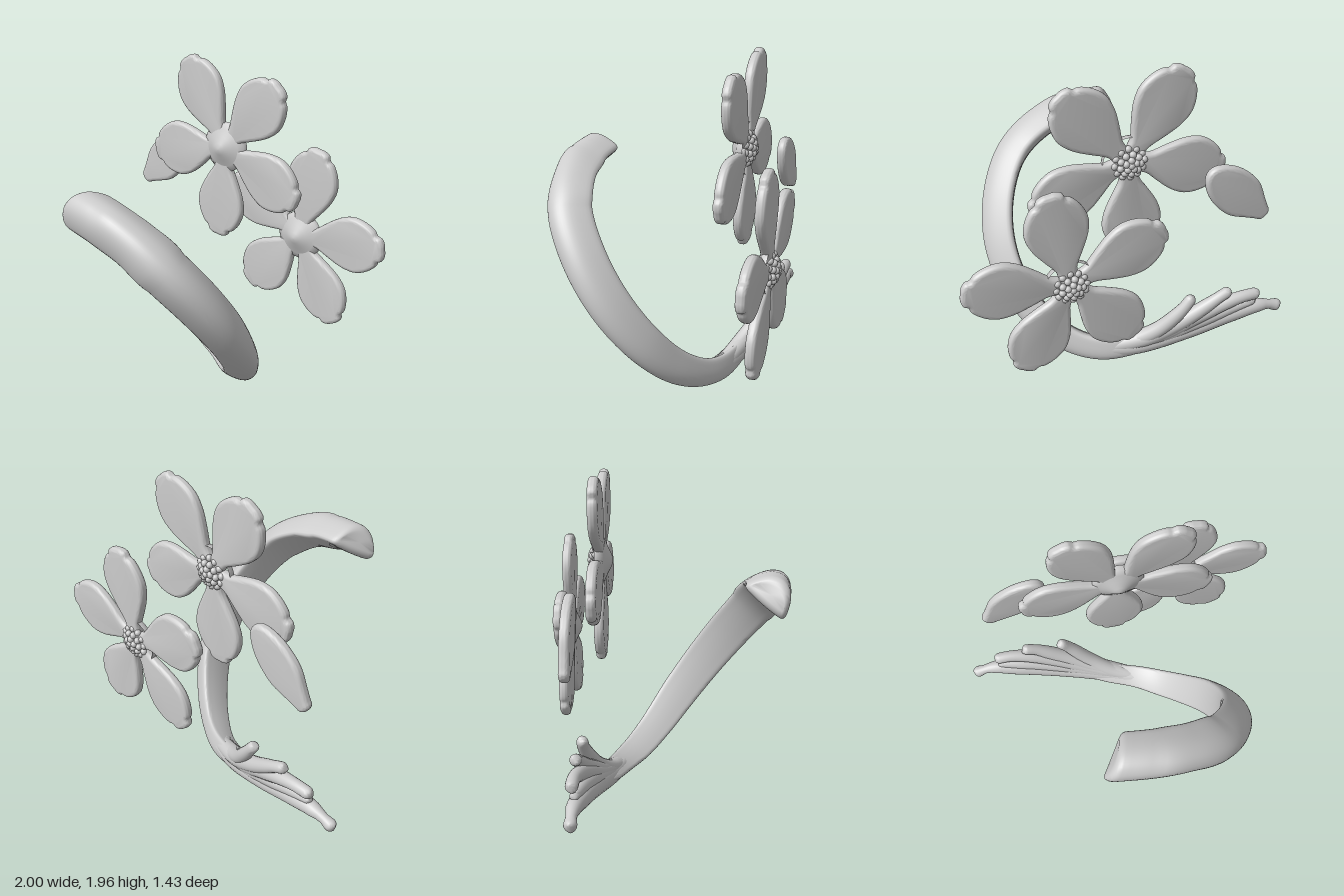
import * as THREE from 'three';
import { toCreasedNormals } from 'three/addons/utils/BufferGeometryUtils.js';

const V = (x, y, z) => new THREE.Vector3(x, y, z);
const silver = new THREE.MeshStandardMaterial({ color: 0xcccccc });
silver.name = 'silver';

// Centre of the wrist ring; swept sections point away from it
const ringCentre = V(0.05, 0.68, 0.15);

function mesh(geometry, name) {
  const m = new THREE.Mesh(geometry, silver);
  m.name = name;
  return m;
}

// Closed solid from equal-length rings of points, with fan caps
function loft(rings) {
  const n = rings[0].length, pos = [], idx = [];
  rings.forEach(r => r.forEach(p => pos.push(p.x, p.y, p.z)));
  for (let i = 0; i < rings.length - 1; i++) {
    for (let j = 0; j < n; j++) {
      const a = i * n + j, b = i * n + (j + 1) % n;
      idx.push(a, a + n, b, b, a + n, b + n);
    }
  }
  [0, rings.length - 1].forEach((i, end) => {
    const c = rings[i].reduce((s, p) => s.add(p), V(0, 0, 0)).divideScalar(n);
    const ci = pos.length / 3;
    pos.push(c.x, c.y, c.z);
    for (let j = 0; j < n; j++) {
      const a = i * n + j, b = i * n + (j + 1) % n;
      if (end) idx.push(ci, b, a); else idx.push(ci, a, b);
    }
  });
  const g = new THREE.BufferGeometry();
  g.setAttribute('position', new THREE.Float32BufferAttribute(pos, 3));
  g.setIndex(idx);
  return toCreasedNormals(g, 0.85);
}

// Sweep a section along stations [x, y, z, halfWidth, halfHeight], with rounded ends
function sweep(stations, section, steps, startRound, endRound, minStart, skew = 0) {
  const path = new THREE.CatmullRomCurve3(stations.map(s => V(s[0], s[1], s[2])));
  const sizes = new THREE.CatmullRomCurve3(stations.map(s => V(s[3], s[4], 0)));
  const L = path.getLength(), u0 = startRound / L, u1 = 1 - endRound / L;
  const samples = [], K = 6;
  for (let k = 0; k < K && u0 > 0; k++) {
    const a = (k / K) * Math.PI / 2;
    samples.push([u0 * (1 - Math.cos(a)), minStart + (1 - minStart) * Math.sin(a)]);
  }
  for (let i = 0; i <= steps; i++) samples.push([u0 + (u1 - u0) * i / steps, 1]);
  for (let k = 1; k <= K && endRound > 0; k++) {
    const a = (k / K) * Math.PI / 2;
    samples.push([u1 + (1 - u1) * Math.sin(a), Math.max(0.05, Math.cos(a))]);
  }
  return loft(samples.map(([u, f]) => {
    const p = path.getPointAt(u), T = path.getTangentAt(u);
    const size = sizes.getPoint(path.getUtoTmapping(u));
    const N = p.clone().sub(ringCentre);
    N.addScaledVector(T, -N.dot(T)).normalize();
    const W = T.clone().cross(N);
    const lean = -skew * Math.max(0, 1 - u * 5);
    return section.map(([w, h]) => p.clone()
      .addScaledVector(W, w * size.x * (0.5 + 0.5 * f))
      .addScaledVector(N, h * size.y * f)
      .addScaledVector(T, w * lean));
  }));
}

// Domed band section with a flat inner face
const domed = new THREE.CatmullRomCurve3([
  [-1, -0.68], [-0.55, -0.8], [0.55, -0.8], [1, -0.68], [0.9, 0.1],
  [0.5, 0.82], [0.05, 1], [-0.42, 0.75], [-0.85, 0],
].map(p => V(p[0], p[1], 0)), true).getPoints(40).slice(0, 40).map(p => [p.x, p.y]);

const round = Array.from({ length: 20 }, (_, i) => {
  const a = i / 20 * Math.PI * 2;
  return [Math.cos(a), Math.sin(a)];
});

// Plump petal from half an outline mirrored about its length
function petalGeometry(half) {
  const pts = [...half, ...half.slice(1, -1).reverse().map(([x, y]) => [x, -y])];
  const outline = new THREE.CatmullRomCurve3(pts.map(p => V(p[0], p[1], 0)), true).getPoints(72).slice(0, 72);
  const shape = new THREE.Shape(outline.map(p => new THREE.Vector2(p.x, p.y)).reverse());
  const g = new THREE.ExtrudeGeometry(shape, {
    depth: 0.012, bevelThickness: 0.023, bevelSize: 0.024, bevelOffset: -0.024, bevelSegments: 5,
  });
  g.translate(0, 0, -0.006);
  return toCreasedNormals(g, 0.8);
}

const petalShape = petalGeometry([
  [0.03, 0], [0.05, 0.045], [0.12, 0.06], [0.2, 0.105], [0.3, 0.155], [0.39, 0.172],
  [0.47, 0.15], [0.53, 0.108], [0.545, 0.08], [0.572, 0.068], [0.588, 0.03], [0.588, 0],
]);

function flower(name, x, y, z, degrees) {
  const f = new THREE.Group();
  f.name = name;
  f.position.set(x, y, z);
  degrees.forEach(d => {
    const p = mesh(petalShape, 'petal');
    p.rotation.z = THREE.MathUtils.degToRad(d);
    f.add(p);
  });

  // Soft pointed hub on the front
  const profile = [[0.15, -0.02], [0.15, 0.012], [0.115, 0.028], [0.075, 0.045], [0.035, 0.066], [0.012, 0.073], [0, 0.074]];
  const hub = mesh(new THREE.LatheGeometry(profile.map(p => new THREE.Vector2(p[0], p[1])), 32), 'hub');
  hub.rotation.x = Math.PI / 2;
  f.add(hub);

  // Bead-like stamens on the back
  const bead = new THREE.SphereGeometry(0.02, 10, 8);
  [[1, 0, -0.056], [5, 0.03, -0.052], [9, 0.058, -0.04], [12, 0.085, -0.022]].forEach(([n, r, bz]) => {
    for (let i = 0; i < n; i++) {
      const a = (i + r * 10) / n * Math.PI * 2;
      const b = mesh(bead, 'stamen');
      b.position.set(r * Math.cos(a), r * Math.sin(a), bz);
      f.add(b);
    }
  });
  const base = mesh(new THREE.SphereGeometry(0.08, 20, 12), 'stamenBase');
  base.scale.z = 0.6;
  f.add(base);
  return f;
}

export function createModel() {
  const model = new THREE.Group();
  model.name = 'floralBangle';

  // Open spiral band
  model.add(mesh(sweep([
    [-0.23, 1.305, 0.575, 0.135, 0.1], [0, 1.28, 0.595, 0.135, 0.105],
    [0.2, 1.22, 0.585, 0.135, 0.105], [0.4, 1.08, 0.53, 0.135, 0.105],
    [0.535, 0.87, 0.395, 0.132, 0.105], [0.585, 0.63, 0.225, 0.125, 0.105],
    [0.535, 0.39, 0.045, 0.115, 0.1], [0.41, 0.205, -0.105, 0.1, 0.095],
    [0.26, 0.105, -0.22, 0.088, 0.085], [0.1, 0.078, -0.31, 0.075, 0.078],
    [-0.1, 0.105, -0.37, 0.065, 0.065], [-0.22, 0.14, -0.4, 0.05, 0.05],
  ], domed, 70, 0.05, 0.04, 0.45, 0.045), 'band'));

  // Fanned plume at the lower end
  const plume = new THREE.Group();
  plume.name = 'plume';
  [
    [[0.12, 0.075, -0.3, 0.06], [-0.1, 0.1, -0.37, 0.064], [-0.4, 0.18, -0.43, 0.06], [-0.7, 0.268, -0.47, 0.055], [-0.87, 0.292, -0.49, 0.042], [-0.995, 0.255, -0.49, 0.042]],
    [[0, 0.09, -0.34, 0.05], [-0.25, 0.17, -0.41, 0.055], [-0.5, 0.26, -0.455, 0.05], [-0.68, 0.315, -0.475, 0.04], [-0.82, 0.345, -0.49, 0.025]],
    [[0.1, 0.08, -0.31, 0.05], [-0.2, 0.17, -0.405, 0.055], [-0.45, 0.3, -0.465, 0.05], [-0.61, 0.372, -0.49, 0.044], [-0.72, 0.4, -0.5, 0.037], [-0.835, 0.402, -0.5, 0.036]],
    [[0.1, 0.08, -0.31, 0.05], [-0.15, 0.165, -0.4, 0.055], [-0.35, 0.285, -0.46, 0.05], [-0.49, 0.385, -0.49, 0.042], [-0.56, 0.435, -0.5, 0.035], [-0.64, 0.475, -0.5, 0.034]],
    [[0.1, 0.08, -0.31, 0.05], [-0.08, 0.14, -0.37, 0.052], [-0.2, 0.23, -0.43, 0.048], [-0.3, 0.35, -0.475, 0.042], [-0.35, 0.42, -0.49, 0.036], [-0.395, 0.485, -0.49, 0.034]],
  ].forEach(points => {
    const stations = points.map(([x, y, z, r]) => [x, y, z, r, r]);
    plume.add(mesh(sweep(stations, round, 30, 0, points.at(-1)[3], 1), 'frond'));
  });
  model.add(plume);

  // Two five-petalled blossoms, one behind the other
  model.add(flower('upperFlower', 0, 1.44, -0.4, [49, 122, 194, 266, 338]));
  model.add(flower('lowerFlower', 0.41, 0.9, -0.645, [8, 80, 156, 229, 299]));

  // Single loose petal
  const loose = mesh(petalGeometry([
    [0, 0], [0.015, 0.045], [0.07, 0.09], [0.15, 0.122], [0.25, 0.132], [0.32, 0.122],
    [0.41, 0.08], [0.47, 0.052], [0.5, 0.038], [0.512, 0],
  ]), 'loosePetal');
  loose.position.set(-0.43, 1.355, -0.52);
  loose.rotation.z = THREE.MathUtils.degToRad(224);
  model.add(loose);

  return model;
}
